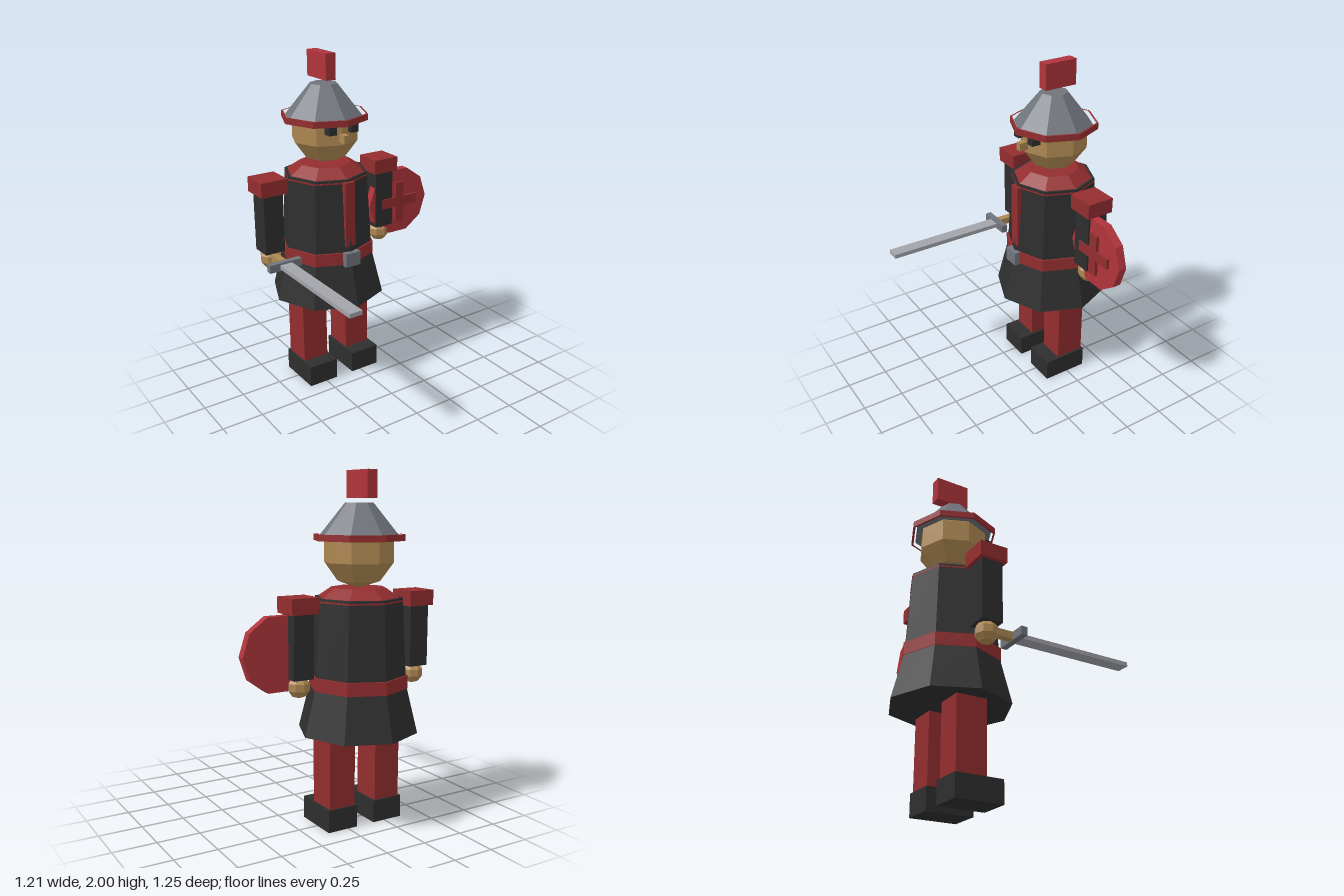
import * as THREE from 'three';

const mat = (name, color) => {
  const m = new THREE.MeshStandardMaterial({ color, flatShading: true });
  m.name = name;
  return m;
};

export function createModel() {
  const black = mat('black cloth', 0x2e2e2e);
  const red = mat('dark red', 0x932d2f);
  const bright = mat('bright red', 0xb0343b);
  const skin = mat('tan skin', 0xae8852);
  const steel = mat('steel', 0x70747b);
  const blade = mat('blade silver', 0xa3a4a9);

  const model = new THREE.Group();
  model.name = 'guard';
  const CX = -0.117, CZ = -0.28; // body axis

  const add = (parent, name, geometry, material, x, y, z) => {
    const mesh = new THREE.Mesh(geometry, material);
    mesh.name = name;
    mesh.position.set(x, y, z);
    parent.add(mesh);
    return mesh;
  };
  // Box given by its limits on each axis
  const box = (parent, name, material, [x0, x1], [y0, y1], [z0, z1]) =>
    add(parent, name, new THREE.BoxGeometry(x1 - x0, y1 - y0, z1 - z0), material,
      (x0 + x1) / 2, (y0 + y1) / 2, (z0 + z1) / 2);
  // Eight-sided tapered section on the body axis
  const section = (parent, name, material, y0, r0, y1, r1) =>
    add(parent, name, new THREE.CylinderGeometry(r1, r0, y1 - y0, 8), material, CX, (y0 + y1) / 2, CZ);
  const group = (name) => {
    const g = new THREE.Group();
    g.name = name;
    model.add(g);
    return g;
  };

  // Coat
  const coat = group('coat');
  section(coat, 'skirt', black, 0.546, 0.345, 0.82, 0.277);
  section(coat, 'torso', black, 0.82, 0.276, 1.31, 0.249);
  section(coat, 'belt', red, 0.8, 0.285, 0.875, 0.285);
  section(coat, 'shoulderTrim', red, 1.288, 0.252, 1.297, 0.252);
  section(coat, 'collar', red, 1.31, 0.233, 1.363, 0.155);
  box(coat, 'frontStripe', red, [-0.15, -0.085], [0.91, 1.3], [-0.05, -0.012]);
  box(coat, 'buckle', steel, [-0.168, -0.068], [0.795, 0.878], [-0.022, 0.018]);

  // Head
  const head = group('head');
  add(head, 'face', new THREE.SphereGeometry(0.206, 8, 5), skin, CX, 1.565, CZ);
  box(head, 'nose', skin, [CX - 0.018, CX + 0.018], [1.52, 1.567], [-0.12, -0.04]);
  for (const side of [-1, 1]) {
    const x = CX + side * 0.072;
    box(head, 'eye', black, [x - 0.024, x + 0.024], [1.57, 1.622], [-0.14, -0.07]);
  }

  // Helmet with a thin hanging brim and a floating plume
  const helmet = group('helmet');
  section(helmet, 'helmetCone', steel, 1.635, 0.234, 1.825, 0.08);
  const brimProfile = [[0.245, 1.62], [0.257, 1.62], [0.257, 1.656], [0.245, 1.656]]
    .map(([r, y]) => new THREE.Vector2(r, y));
  add(helmet, 'brim', new THREE.LatheGeometry(brimProfile, 8), red, CX, 0, CZ);
  box(helmet, 'plume', bright, [-0.149, -0.085], [1.85, 2], [-0.405, -0.2]);

  // Arms and legs
  for (const side of [-1, 1]) {
    const arm = group(side > 0 ? 'leftArm' : 'rightArm');
    const ax = CX + side * 0.385;
    box(arm, 'sleeve', black, [ax - 0.062, ax + 0.062], [0.886, 1.25], [CZ - 0.062, CZ + 0.062]);
    box(arm, 'shoulderPad', red, [ax - 0.083, ax + 0.083], [1.242, 1.33], [-0.362, -0.197]);
    add(arm, 'hand', new THREE.SphereGeometry(0.066, 8, 5), skin, ax, 0.842, CZ);

    const leg = group(side > 0 ? 'leftLeg' : 'rightLeg');
    const lx = CX + side * 0.152;
    box(leg, 'trouser', red, [lx - 0.082, lx + 0.082], [0.12, 0.6], [-0.365, -0.187]);
    box(leg, 'shoe', black, [lx - 0.095, lx + 0.095], [0, 0.13], [-0.375, -0.095]);
  }

  // Sword in the right hand, pointing forward
  const sword = group('sword');
  box(sword, 'grip', skin, [-0.524, -0.482], [0.832, 0.874], [-0.27, -0.125]);
  box(sword, 'crossGuard', steel, [-0.605, -0.4], [0.828, 0.875], [-0.132, -0.095]);
  box(sword, 'blade', blade, [-0.541, -0.464], [0.84, 0.865], [-0.1, 0.62]);

  // Ten-sided shield with a raised cross on the left arm
  const shield = group('shield');
  const disc = new THREE.CylinderGeometry(0.216, 0.216, 0.05, 10).rotateY(Math.PI / 2).rotateX(Math.PI / 2);
  add(shield, 'shieldDisc', disc, bright, 0.384, 1.028, -0.254);
  box(shield, 'crossUpright', red, [0.352, 0.414], [0.9, 1.156], [-0.24, -0.21]);
  box(shield, 'crossBar', red, [0.256, 0.512], [0.998, 1.06], [-0.24, -0.211]);

  return model;
}
